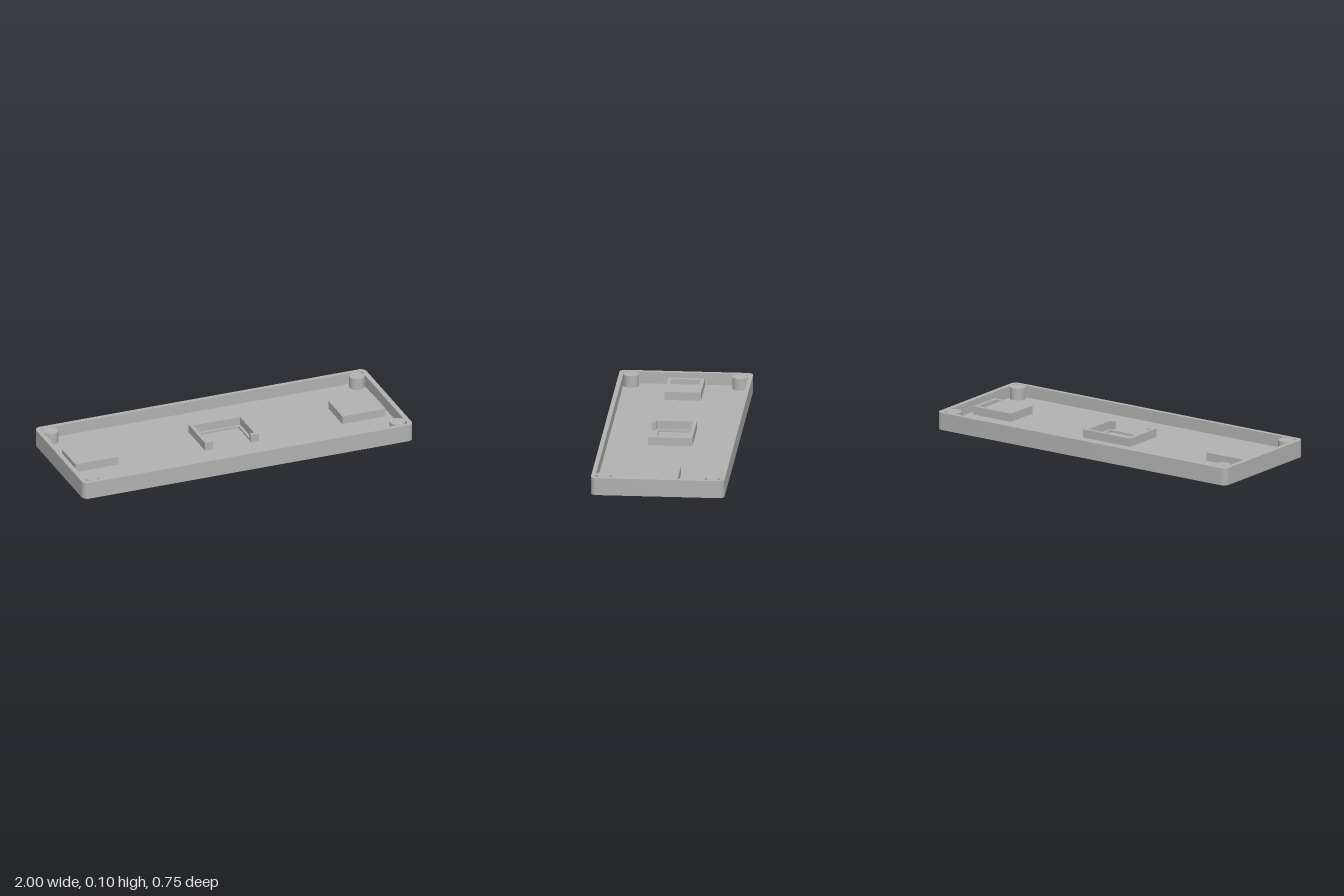
import * as THREE from 'three';
import { toCreasedNormals } from 'three/addons/utils/BufferGeometryUtils.js';

const HEIGHT = 0.1, FLOOR = 0.032, BORE = 0.02; // rim, floor top, counterbore depth
const HALF_X = 1, HALF_Z = 0.377;
const HOLE_X = 0.808, HOLE_Z = 0.005;

// Outlines are drawn in x and -z, then laid flat.
function outline(points, Type = THREE.Shape) {
  return new Type(points.map(([x, z]) => new THREE.Vector2(x, -z)));
}

function rect(x0, x1, z0, z1, Type) {
  return outline([[x0, z0], [x1, z0], [x1, z1], [x0, z1]], Type);
}

function roundedRect(hx, hz, r) {
  const s = new THREE.Shape();
  s.absarc(hx - r, hz - r, r, 0, Math.PI / 2);
  s.absarc(-hx + r, hz - r, r, Math.PI / 2, Math.PI);
  s.absarc(-hx + r, -hz + r, r, Math.PI, Math.PI * 1.5);
  s.absarc(hx - r, -hz + r, r, Math.PI * 1.5, Math.PI * 2);
  s.closePath();
  return s;
}

function circleHole(x, z, r) {
  return new THREE.Path().absarc(x, -z, r, 0, Math.PI * 2, true);
}

export function createModel() {
  const group = new THREE.Group();
  const grey = new THREE.MeshStandardMaterial({ color: 0xb2b2b2 });
  grey.name = 'grey plastic';

  function slab(name, shape, y0, y1, holes = []) {
    shape.holes.push(...holes);
    const g = new THREE.ExtrudeGeometry(shape, { depth: y1 - y0, bevelEnabled: false, curveSegments: 24 });
    g.rotateX(-Math.PI / 2).translate(0, y0, 0);
    const mesh = new THREE.Mesh(toCreasedNormals(g, 0.6), grey);
    mesh.name = name;
    group.add(mesh);
  }

  const base = () => roundedRect(HALF_X, HALF_Z, 0.035);

  // Floor in two layers: wide counterbores below, screw holes and shallow pocket above
  slab('floorBottom', base(), 0, BORE, [-1, 1].map(s => circleHole(s * HOLE_X, HOLE_Z, 0.078)));
  slab('floorTop', base(), BORE, FLOOR, [
    ...[-1, 1].map(s => circleHole(s * HOLE_X, HOLE_Z, 0.017)),
    rect(-0.126, 0.126, -0.094, 0.085, THREE.Path),
  ]);

  // Rim wall
  slab('rimWall', base(), FLOOR, HEIGHT, [rect(-0.972, 0.972, -0.352, 0.352, THREE.Path)]);

  // Corner posts and the two closed frames around the screw holes
  for (const s of [-1, 1]) {
    for (const t of [-1, 1]) {
      const post = new THREE.Mesh(new THREE.CylinderGeometry(0.044, 0.044, HEIGHT - FLOOR, 40), grey);
      post.position.set(s * 0.928, (HEIGHT + FLOOR) / 2, t * 0.307);
      post.name = 'cornerPost';
      group.add(post);
    }
    const c = s * 0.808;
    slab('sideFrame', rect(c - 0.131, c + 0.131, -0.107, 0.099), FLOOR, 0.08,
      [rect(c - 0.11, c + 0.11, -0.086, 0.079, THREE.Path)]);
  }

  // Centre holder, open at the front with two inward lips
  slab('centreHolder', outline([
    [-0.163, -0.128], [0.163, -0.128], [0.163, 0.123], [0.115, 0.123], [0.115, 0.1], [0.141, 0.1],
    [0.141, -0.107], [-0.141, -0.107], [-0.141, 0.1], [-0.115, 0.1], [-0.115, 0.123], [-0.163, 0.123],
  ]), FLOOR, 0.08);

  return group;
}
